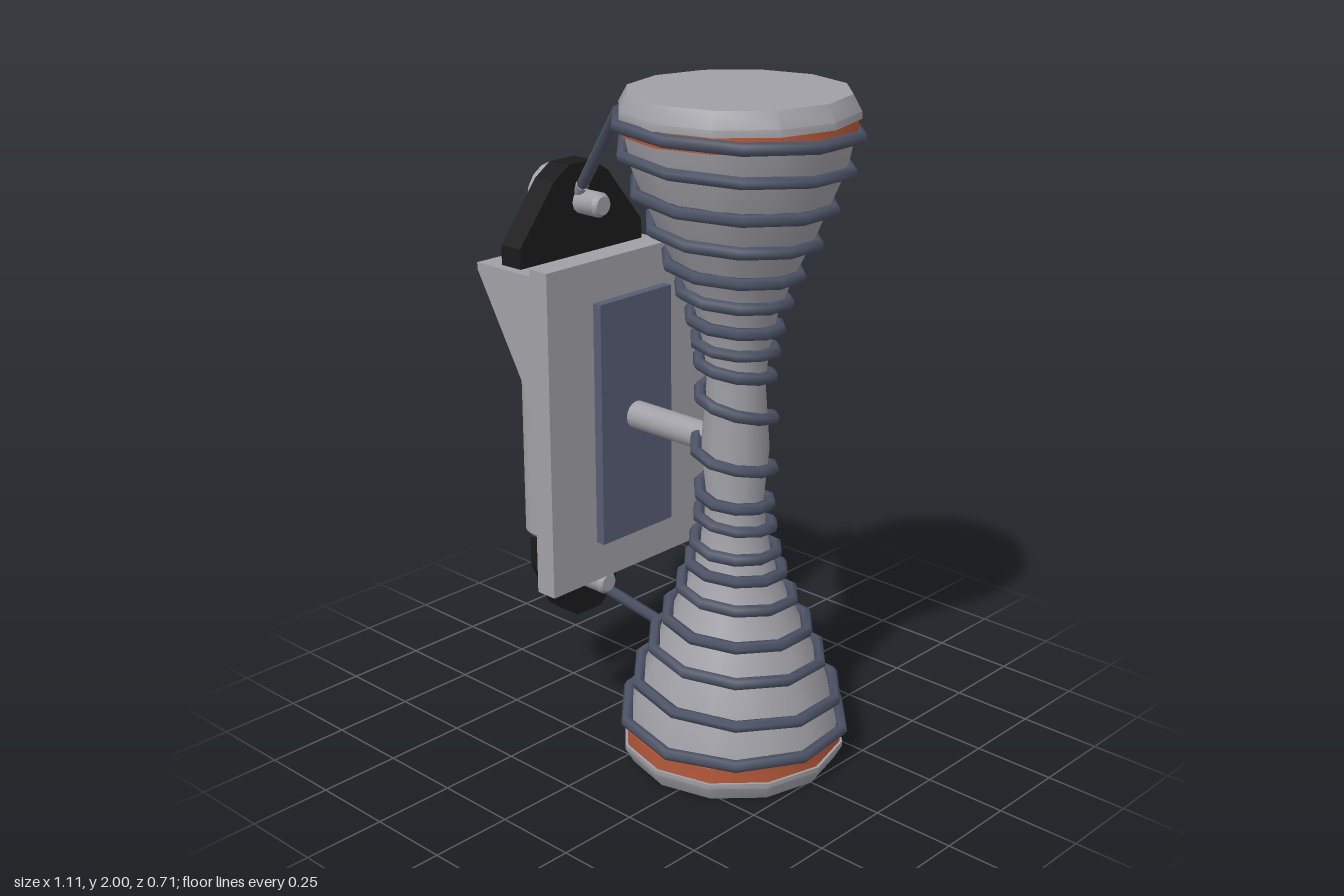
import * as THREE from 'three';
import { toCreasedNormals } from 'three/addons/utils/BufferGeometryUtils.js';

const mat = (name, color, side = THREE.FrontSide) => {
  const m = new THREE.MeshStandardMaterial({ color, side });
  m.name = name;
  return m;
};

export function createModel() {
  const model = new THREE.Group();
  model.name = 'cordSpool';
  const grey = mat('steelGrey', 0xa0a0a6);
  const black = mat('black', 0x1a1a1a);
  const cordBlue = mat('cordBlueGrey', 0x4d5366);
  const slate = mat('slate', 0x585c74);
  const orange = mat('orange', 0xb5593a);

  const add = (name, geo, material, x = 0, y = 0, z = 0) => {
    const mesh = new THREE.Mesh(geo, material);
    mesh.name = name;
    mesh.position.set(x, y, z);
    model.add(mesh);
    return mesh;
  };
  const box = (name, x0, x1, y0, y1, z0, z1, material) =>
    add(name, new THREE.BoxGeometry(x1 - x0, y1 - y0, z1 - z0), material, (x0 + x1) / 2, (y0 + y1) / 2, (z0 + z1) / 2);
  const shape = (pts) => new THREE.Shape(pts.map(([a, b]) => new THREE.Vector2(a, b)));
  const lathe = (pts, sides) =>
    toCreasedNormals(new THREE.LatheGeometry(pts.map(([r, y]) => new THREE.Vector2(r, y)), sides), 0.6);

  // Hourglass spool, twelve-sided
  const CX = 0.195;
  const half = [[0.32, 0.105], [0.3, 0.2], [0.215, 0.4], [0.165, 0.5], [0.12, 0.61], [0.095, 0.72], [0.085, 0.82], [0.1, 0.98]];
  const profile = [...half, ...half.slice(0, -1).reverse().map(([r, y]) => [r, 2 - y])];
  add('spoolCore', lathe(profile, 12), grey, CX);
  add('lowerCap', lathe([[0, 0], [0.31, 0], [0.335, 0.045], [0.335, 0.06], [0, 0.06]], 12), grey, CX);
  add('upperCap', lathe([[0, 1.935], [0.335, 1.935], [0.335, 1.955], [0.31, 2], [0, 2]], 12), grey, CX);
  for (const [name, y] of [['lowerBand', 0.055], ['upperBand', 1.89]]) {
    add(name, lathe([[0, y], [0.327, y], [0.327, y + 0.05], [0, y + 0.05]], 12), orange, CX);
  }

  // Cord wound around the spool: height at the front of each turn
  const fronts = [1.935, 1.92, 1.83, 1.72, 1.62, 1.52, 1.44, 1.36, 1.29, 1.23, 1.125, 0.96, 0.83,
    0.765, 0.68, 0.62, 0.545, 0.45, 0.36, 0.25, 0.13, 0.085];
  const radiusAt = (y) => {
    const i = Math.max(0, profile.findIndex((p) => p[1] >= y) - 1);
    const [r0, y0] = profile[i], [r1, y1] = profile[i + 1];
    return THREE.MathUtils.lerp(r0, r1, THREE.MathUtils.clamp((y - y0) / (y1 - y0), 0, 1));
  };
  const coilY = (t) => {
    const i = Math.floor(t);
    return THREE.MathUtils.lerp(fronts[i], fronts[i + 1], t - i);
  };
  const pts = [new THREE.Vector3(-0.385, 1.645, 0.035)];
  for (let t = 0.82; t <= 20.67; t += 0.1) {
    const y = coilY(t);
    const r = Math.min(y, 2 - y) < 0.105 ? 0.343 : radiusAt(y) + 0.019;
    const a = t * Math.PI * 2;
    pts.push(new THREE.Vector3(CX + r * Math.sin(a), y, r * Math.cos(a)));
  }
  pts.push(new THREE.Vector3(-0.375, 0.345, -0.02));
  const cord = new THREE.Curve();
  cord.getPoint = (t, target = new THREE.Vector3()) => {
    const s = t * (pts.length - 1);
    const i = Math.min(Math.floor(s), pts.length - 2);
    return target.lerpVectors(pts[i], pts[i + 1], s - i);
  };
  cord.getPointAt = cord.getPoint;
  cord.getTangentAt = cord.getTangent;
  add('cord', new THREE.TubeGeometry(cord, pts.length - 1, 0.018, 6), mat('cordBlueGrey', 0x4d5366, THREE.DoubleSide) && cordBlue);

  // Axle and mounting plates
  add('axle', new THREE.CylinderGeometry(0.042, 0.042, 0.31, 16), grey, -0.04, 0.98, 0.01).rotation.z = Math.PI / 2;
  box('innerPad', -0.222, -0.19, 0.6, 1.35, -0.14, 0.155, slate);
  box('mainPlate', -0.29, -0.22, 0.475, 1.475, -0.325, 0.335, grey);
  box('orangeTrim', -0.293, -0.289, 0.5, 1.45, -0.305, 0.315, orange);
  box('backing', -0.298, -0.29, 0.535, 1.435, -0.275, 0.29, grey);

  // Wedge hood over the housing
  const hood = new THREE.ExtrudeGeometry(
    shape([[-0.292, 0.96], [-0.292, 1.435], [-0.565, 1.435], [-0.565, 1.415], [-0.305, 0.97]]),
    { depth: 0.565, bevelEnabled: false });
  add('hood', hood, grey, 0, 0, -0.275);

  // Housing with rounded outer corners
  const body = new THREE.Shape();
  body.moveTo(-0.295, -0.22);
  body.lineTo(-0.295, 0.22);
  body.lineTo(-0.425, 0.22);
  body.absarc(-0.425, 0.14, 0.08, Math.PI / 2, Math.PI, false);
  body.absarc(-0.425, -0.14, 0.08, Math.PI, Math.PI * 1.5, false);
  const bodyGeo = new THREE.ExtrudeGeometry(body,
    { depth: 0.79, bevelSize: 0.01, bevelThickness: 0.012, bevelOffset: -0.01, bevelSegments: 1, curveSegments: 6 });
  bodyGeo.rotateX(-Math.PI / 2);
  add('housing', toCreasedNormals(bodyGeo, 0.6), grey, 0, 0.59, 0.008);

  // Lower shelf with a pointed lip
  box('shelf', -0.545, -0.29, 0.54, 0.557, -0.125, 0.14, grey);
  const lip = new THREE.ExtrudeGeometry(shape([[-0.13, 0], [0.13, 0], [0, 0.085]]), { depth: 0.018, bevelEnabled: false });
  lip.rotateY(Math.PI / 2);
  add('shelfLip', lip, grey, -0.545, 0.555, 0.008);

  // Brackets with knob, pin and cord ferrule
  const bracket = (name, outline, axisY, tie) => {
    const full = [...outline, ...outline.slice().reverse().map(([z, y]) => [-z, y])];
    const geo = new THREE.ExtrudeGeometry(shape(full), { depth: 0.08, bevelEnabled: false });
    geo.rotateY(Math.PI / 2);
    add(name + 'Bracket', geo, black, -0.49, 0, 0.01);
    const knob = lathe([[0, 0], [0.1, 0], [0.1, 0.05], [0.085, 0.065], [0.05, 0.065], [0.046, 0.056],
      [0.025, 0.056], [0.022, 0.064], [0, 0.064]], 16);
    add(name + 'Knob', knob, grey, -0.49, axisY, 0.01).rotation.z = Math.PI / 2;
    const pin = lathe([[0, 0], [0.038, 0], [0.038, 0.078], [0.028, 0.092], [0, 0.092]], 12);
    add(name + 'Pin', pin, grey, -0.41, axisY, 0.01).rotation.z = -Math.PI / 2;
    const [end, next] = tie;
    const dir = next.clone().sub(end).normalize();
    const ferrule = add(name + 'Ferrule', new THREE.CylinderGeometry(0.02, 0.013, 0.05, 8), grey);
    ferrule.position.copy(end).addScaledVector(dir, -0.012);
    ferrule.quaternion.setFromUnitVectors(new THREE.Vector3(0, 1, 0), dir);
  };
  bracket('upper', [[0.25, 1.434], [0.25, 1.495], [0.11, 1.67], [0.05, 1.71]], 1.595, [pts[0], pts[1]]);
  bracket('lower', [[0.17, 0.542], [0.17, 0.45], [0.1, 0.3], [0.05, 0.262]], 0.385, [pts.at(-1), pts.at(-2)]);

  return model;
}
